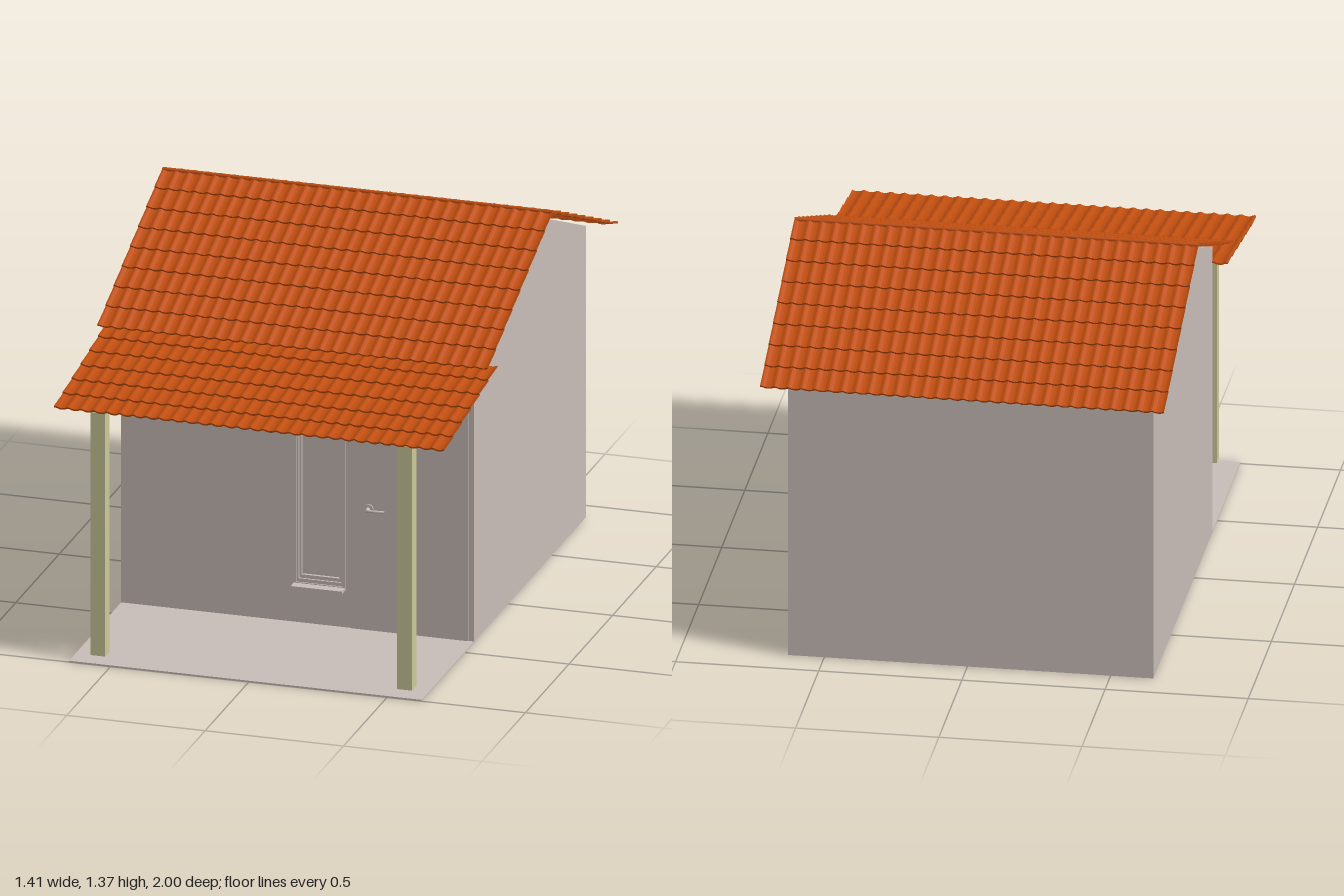
import * as THREE from 'three';

const mat = (name, color) => {
  const m = new THREE.MeshStandardMaterial({ color });
  m.name = name;
  return m;
};

export function createModel() {
  const house = new THREE.Group();
  house.name = 'house';
  const wall = mat('plaster', 0xc9beb9);
  const wood = mat('paleWood', 0xcdca9a);
  const clay = mat('clayTile', 0xc04e10);

  const add = (name, geo, material, parent = house) => {
    const m = new THREE.Mesh(geo, material);
    m.name = name;
    parent.add(m);
    return m;
  };
  // box given by its limits
  const box = (name, x0, x1, y0, y1, z0, z1, material) => {
    const m = add(name, new THREE.BoxGeometry(x1 - x0, y1 - y0, z1 - z0), material);
    m.position.set((x0 + x1) / 2, (y0 + y1) / 2, (z0 + z1) / 2);
    return m;
  };
  const rect = (C, x0, x1, y0, y1) => {
    const s = new C();
    s.moveTo(x0, y0);
    s.lineTo(x1, y0);
    s.lineTo(x1, y1);
    s.lineTo(x0, y1);
    s.closePath();
    return s;
  };
  // rectangular panel with a rectangular opening, facing +z
  const ring = (name, o, i, z0, z1, material) => {
    const s = rect(THREE.Shape, ...o);
    s.holes.push(rect(THREE.Path, ...i));
    const g = new THREE.ExtrudeGeometry(s, { depth: z1 - z0, bevelEnabled: false });
    add(name, g, material).position.z = z0;
  };

  // gabled body, extruded across the width
  const X0 = -0.65, X1 = 0.625;
  const gable = new THREE.Shape([[-0.375, 0.002], [0.885, 0.002], [0.885, 1.075], [0.25, 1.34], [-0.375, 1.083]]
    .map(([a, b]) => new THREE.Vector2(a, b)));
  const body = add('walls', new THREE.ExtrudeGeometry(gable, { depth: X1 - X0, bevelEnabled: false }), wall);
  body.rotation.y = Math.PI / 2;
  body.position.x = X0;

  // front wall with the window opening, and porch floor
  const opening = [-0.025, 0.16, 0.14, 0.895];
  ring('frontWall', [X0, X1, 0.002, 1.073], opening, 0.375, 0.4, wall);
  box('porchFloor', X0, X1, 0, 0.005, 0.38, 1, wall);

  // stepped window frame, pane and sill
  const inset = d => [opening[0] + d, opening[1] - d, opening[2] + d * 1.6, opening[3] - d];
  [0.403, 0.398, 0.391].forEach((z, k) =>
    ring('windowFrame', inset(k * 0.008), inset((k + 1) * 0.008), 0.376, z, wall));
  const p = inset(0.024);
  box('windowPane', ...p, 0.374, 0.38, wall);
  box('windowSill', -0.025, 0.16, 0.14, 0.15, 0.395, 0.44, wall);

  // door with its trim
  box('door', 0.183, 0.605, 0.002, 0.897, 0.395, 0.404, wall);
  box('doorTrim', 0.215, 0.53, 0.865, 0.87, 0.4, 0.407, wall);
  // handle: rose, neck and lever
  const disc = (name, r, z0, z1) => {
    const m = add(name, new THREE.CylinderGeometry(r, r, z1 - z0, 20), wall);
    m.rotation.x = Math.PI / 2;
    m.position.set(0.245, 0.452, (z0 + z1) / 2);
  };
  disc('handleRose', 0.018, 0.403, 0.409);
  disc('handleNeck', 0.007, 0.408, 0.43);
  const lever = new THREE.CatmullRomCurve3([
    new THREE.Vector3(0.243, 0.452, 0.427),
    new THREE.Vector3(0.275, 0.453, 0.429),
    new THREE.Vector3(0.31, 0.453, 0.426),
  ]);
  add('handleLever', new THREE.TubeGeometry(lever, 10, 0.005, 8), wall);

  // porch posts
  for (const x of [-0.552, 0.557]) box('porchPost', x - 0.027, x + 0.027, 0.027, 0.922, 0.93, 0.98, wood);

  // one course of curved tiles: a raised roll beside a shallow pan
  const COLS = 30, W = 1.41, step = W / COLS, thick = 0.006;
  const unit = [[0, 0.005], [0.12, 0.006], [0.25, 0.004], [0.4, 0.001], [0.6, 0], [0.8, 0.001], [0.96, 0.004]];
  const upper = [];
  for (let c = 0; c < COLS; c++)
    for (const [t, h] of unit) upper.push([-W / 2 + (c + t) * step, h]);
  upper.push([W / 2, 0.005]);
  const section = new THREE.Shape([
    ...upper.map(([x, h]) => new THREE.Vector2(x, h - thick)),
    ...upper.slice().reverse().map(([x, h]) => new THREE.Vector2(x, h)),
  ]);

  // tiled slope running down from the upper to the lower edge, in overlapping courses
  const slope = (name, zTop, yTop, zEnd, yEnd, rows) => {
    const g = new THREE.Group();
    g.name = name;
    const run = Math.abs(zEnd - zTop), drop = yTop - yEnd;
    const rowLen = Math.hypot(run, drop) / rows;
    g.rotation.order = 'YXZ';
    g.rotation.y = zEnd < zTop ? Math.PI : 0;
    g.rotation.x = Math.atan2(drop, run);
    g.position.set(0, yTop, zTop);
    const geo = new THREE.ExtrudeGeometry(section, { depth: rowLen * 1.06, bevelEnabled: false });
    geo.translate(0, 0, -rowLen * 1.06);
    geo.rotateX(-0.007 / rowLen);
    for (let r = 1; r <= rows; r++) {
      const row = add('tileCourse', geo, clay, g);
      row.position.set(0, 0.004, r * rowLen);
    }
    house.add(g);
  };
  slope('frontRoof', -0.25, 1.363, 0.498, 1.05, 8);
  slope('backRoof', -0.25, 1.363, -0.998, 1.05, 8);
  slope('porchRoof', 0.39, 1.022, 0.998, 0.928, 6);

  // ridge joint between the two slopes
  const ridge = add('ridge', new THREE.CylinderGeometry(0.008, 0.008, W, 8), clay);
  ridge.rotation.z = Math.PI / 2;
  ridge.position.set(0, 1.362, -0.25);

  return house;
}
